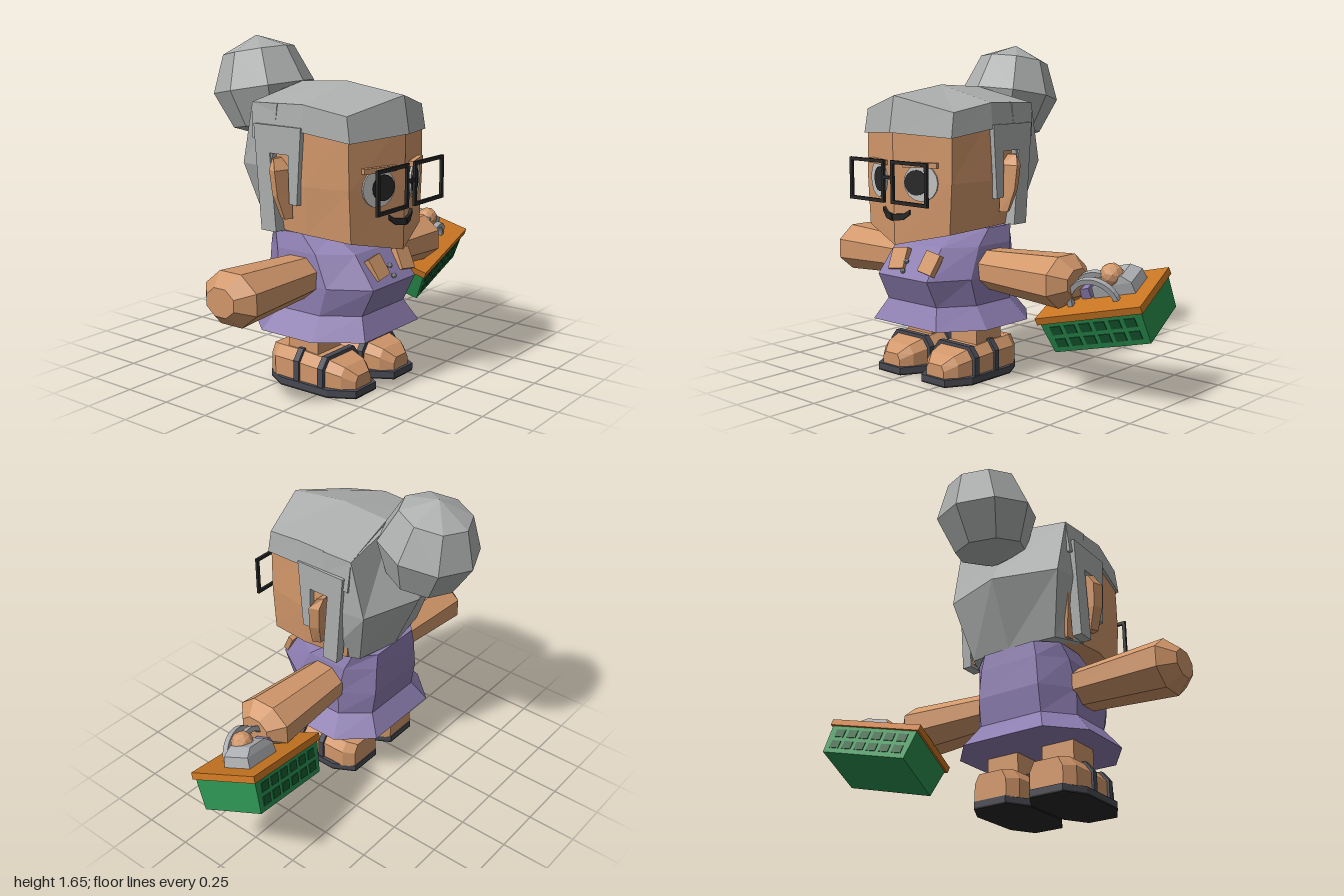
import * as THREE from 'three';

const mat = (name, color, side = THREE.FrontSide) => {
  const m = new THREE.MeshStandardMaterial({ color, side, flatShading: true });
  m.name = name;
  return m;
};
const M = {
  skin: mat('skin', 0xd1976a), hair: mat('grey hair', 0xacaeae),
  dress: mat('purple dress', 0x8c7db0), black: mat('black', 0x272727),
  white: mat('eye white', 0xc4c4c2), sole: mat('dark leather', 0x484952),
  green: mat('basket green', 0x2a9150), hole: mat('basket hole', 0x155a30),
  rim: mat('basket orange', 0xc87522), metal: mat('light grey', 0xa9abae),
};

// Solid through matching rings of points, flat shaded, faces turned outward
function loft(rings) {
  const tris = [], n = rings[0].length, last = rings.length - 1;
  for (let r = 0; r < last; r++) for (let i = 0; i < n; i++) {
    const j = (i + 1) % n, a = rings[r], b = rings[r + 1];
    tris.push([a[i], a[j], b[j]], [a[i], b[j], b[i]]);
  }
  for (let i = 1; i < n - 1; i++) {
    tris.push([rings[0][0], rings[0][i + 1], rings[0][i]]);
    tris.push([rings[last][0], rings[last][i], rings[last][i + 1]]);
  }
  const v = (p) => new THREE.Vector3(...p);
  const volume = tris.reduce((s, t) => s + v(t[0]).dot(v(t[1]).cross(v(t[2]))), 0);
  if (volume < 0) tris.forEach((t) => t.reverse());
  const g = new THREE.BufferGeometry();
  g.setAttribute('position', new THREE.Float32BufferAttribute(tris.flat(2), 3));
  g.computeVertexNormals();
  return g;
}
// Closed ring from its right half (x > 0), mirrored; points on x = 0 stay single
const mirror = (half) => [...half, ...half.filter((p) => p[0] > 0).reverse().map(([x, y, z]) => [-x, y, z])];

function add(parent, name, geo, material, x = 0, y = 0, z = 0) {
  const m = new THREE.Mesh(geo, material);
  m.name = name;
  m.position.set(x, y, z);
  parent.add(m);
  return m;
}
const box = (w, h, d) => new THREE.BoxGeometry(w, h, d);
const polygon = (pts) => new THREE.Shape(pts.map((p) => new THREE.Vector2(...p)));
const extrude = (shape, depth) => new THREE.ExtrudeGeometry(shape, { depth, bevelEnabled: false });
function group(parent, name) {
  const g = new THREE.Group();
  g.name = name;
  parent.add(g);
  return g;
}

function buildHead(body) {
  const head = group(body, 'head');
  add(head, 'face', loft([
    [[0, 0.69, 0.525], [0.28, 0.755, 0.43], [0.31, 0.77, 0.2], [0.28, 0.77, -0.05], [0, 0.71, -0.08]],
    [[0, 1.0, 0.53], [0.295, 1.0, 0.43], [0.33, 1.0, 0.2], [0.31, 1.0, -0.08], [0, 1.0, -0.12]],
    [[0, 1.3, 0.53], [0.295, 1.28, 0.425], [0.325, 1.3, 0.2], [0.3, 1.3, -0.05], [0, 1.3, -0.08]],
  ].map((r) => mirror(r.slice(0, 4)).concat([]).map((p) => p)).map((r) => {
    // rotate the ring so that it starts at the centre ridge
    return r;
  })), M.skin);

  // Hair: crown with fringe, then the back of the head
  const crown = (low, high, top, under) => [under, low, high, top, [-high[0], high[1], high[2]], [-low[0], low[1], low[2]]];
  add(head, 'hairCrown', loft([
    crown([0.305, 1.215, 0.44], [0.3, 1.335, 0.42], [0, 1.41, 0.52], [0, 1.235, 0.55]),
    crown([0.345, 1.25, 0.2], [0.335, 1.375, 0.2], [0, 1.455, 0.2], [0, 1.25, 0.2]),
    crown([0.34, 1.2, -0.1], [0.325, 1.365, -0.11], [0, 1.44, -0.07], [0, 1.2, -0.1]),
  ]), M.hair);
  add(head, 'hairBack', loft([
    mirror([[0.31, 0.765, 0.05], [0.24, 0.76, -0.1], [0, 0.75, -0.14]]),
    mirror([[0.345, 1.07, 0.02], [0.315, 1.07, -0.18], [0, 1.07, -0.28]]),
    mirror([[0.335, 1.37, 0.05], [0.325, 1.365, -0.11], [0, 1.43, -0.1]]),
  ]), M.hair);
  const bun = add(head, 'hairBun', new THREE.SphereGeometry(0.257, 8, 4), M.hair, 0, 1.395, -0.322);
  bun.scale.x = 0.96;
  bun.rotation.x = -0.18;

  const lock = polygon([[0.2, 1.27], [0.175, 0.91], [0.13, 0.915], [0.125, 1.14], [0.015, 1.14],
    [0.05, 0.77], [-0.04, 0.77], [-0.08, 1.27]]);
  for (const s of [1, -1]) {
    const side = s > 0 ? 'left' : 'right';
    add(head, side + 'SideHair', extrude(lock, 0.05).rotateY(-Math.PI / 2), M.hair, s > 0 ? 0.352 : -0.302);
    const ear = (y, x, f, b) => [[s * 0.32, y, f], [s * x, y, (f + b) / 2 + 0.012], [s * (x - 0.02), y, b], [s * 0.32, y, b]];
    add(head, side + 'Ear', loft([ear(0.84, 0.36, 0.125, 0.07), ear(0.95, 0.395, 0.12, 0.05),
      ear(1.07, 0.405, 0.115, 0.04), ear(1.12, 0.375, 0.06, 0.035)]), M.skin);

    // Features lie on the two slanted halves of the face
    const half = group(head, side + 'FaceHalf');
    half.position.z = 0.53;
    half.rotation.y = s * 0.327;
    const disc = (r, h) => new THREE.CylinderGeometry(r, r, h, 16).rotateX(Math.PI / 2);
    add(half, 'eyeWhite', disc(0.09, 0.009), M.white, s * 0.153, 1.0, 0.006);
    add(half, 'pupil', disc(0.061, 0.008), M.black, s * 0.13, 1.0, 0.012);
    add(half, 'eyelid', box(0.18, 0.025, 0.03), M.skin, s * 0.153, 1.085, 0.008);
    const smile = polygon([[0, 0.81], [s * 0.055, 0.817], [s * 0.093, 0.845], [s * 0.093, 0.868], [s * 0.06, 0.848], [0, 0.842]]);
    add(half, 'mouth', extrude(smile, 0.014), M.black);

    const rim = polygon([[-0.123, -0.104], [0.123, -0.104], [0.123, 0.104], [-0.123, 0.104]]);
    rim.holes.push(polygon([[-0.106, -0.087], [0.106, -0.087], [0.106, 0.087], [-0.106, 0.087]]));
    add(head, side + 'GlassesRim', extrude(rim, 0.014), M.black, s * 0.147, 1.002, 0.557);
  }
  add(head, 'glassesBridge', box(0.06, 0.016, 0.012), M.black, 0, 1.022, 0.564);
}

function buildBody(body) {
  // Dress with a flared hem
  const ring = (y, w, f, b) => {
    const d = f - b;
    return mirror([[w * 0.6, y, f], [w, y, f - 0.3 * d], [w, y, b + 0.25 * d], [w * 0.6, y, b]]);
  };
  add(body, 'dress', loft([ring(0.28, 0.37, 0.47, -0.2), ring(0.385, 0.285, 0.415, -0.13),
    ring(0.52, 0.285, 0.48, -0.15), ring(0.67, 0.265, 0.365, -0.145), ring(0.75, 0.24, 0.22, -0.14)]), M.dress);

  for (const [x, t] of [[-0.07, 0.15], [0.145, -0.15]]) {
    const flap = add(body, 'collarFlap', box(0.1, 0.11, 0.03), M.skin, x, 0.6, 0.428);
    flap.rotation.set(-0.5, 0, t);
  }
  for (const [y, z] of [[0.6, 0.45], [0.555, 0.475]])
    add(body, 'button', new THREE.SphereGeometry(0.014, 6, 4), M.metal, 0, y, z);

  const armProfile = [[0, 0], [0.1, 0], [0.132, 0.53], [0.07, 0.6], [0, 0.6]].map((p) => new THREE.Vector2(...p));
  const section = (z, w, h) => mirror([[w, 0.035, z], [w, h * 0.72, z], [w * 0.72, h, z]]);
  for (const s of [1, -1]) {
    const side = s > 0 ? 'left' : 'right';
    const arm = add(body, side + 'Arm', new THREE.LatheGeometry(armProfile, 8, Math.PI / 8), M.skin, s * 0.2, 0.55, 0.11);
    arm.rotation.z = -s * Math.PI / 2;
    arm.scale.z = 1.24;

    // Leg and sandal
    const foot = group(body, side + 'Foot');
    foot.position.x = s * 0.157;
    add(foot, 'leg', box(0.175, 0.26, 0.18), M.skin, 0, 0.25, 0.12);
    add(foot, 'foot', loft([section(-0.075, 0.09, 0.17), section(-0.02, 0.13, 0.18), section(0.11, 0.134, 0.18),
      section(0.26, 0.132, 0.168), section(0.36, 0.105, 0.14), section(0.415, 0.06, 0.1)]), M.skin);
    const sole = polygon([[0.08, -0.43], [0.15, -0.31], [0.152, -0.03], [0.09, 0.08],
      [-0.09, 0.08], [-0.152, -0.03], [-0.15, -0.31], [-0.08, -0.43]]);
    add(foot, 'sole', extrude(sole, 0.03).rotateX(-Math.PI / 2), M.sole, 0, 0.008);
    add(foot, 'soleBottom', extrude(sole, 0.008).rotateX(-Math.PI / 2), M.black);
    for (const [z, h] of [[0.12, 0.19], [0.265, 0.179]])
      add(foot, 'strap', loft([section(z - 0.016, 0.145, h), section(z + 0.016, 0.145, h)]), M.sole);
  }
}

function buildBasket(root) {
  const basket = group(root, 'basket');
  const along = new THREE.Vector3(0.5, 0.12, -0.07).normalize();
  const up = new THREE.Vector3(0.07, -0.11, 0.32).cross(along).normalize();
  const front = along.clone().cross(up);
  basket.quaternion.setFromRotationMatrix(new THREE.Matrix4().makeBasis(along, up, front));
  basket.position.set(0.71, 0.318, -0.04);

  const rect = (y, w, d) => [[w, y, d], [w, y, -d], [-w, y, -d], [-w, y, d]];
  add(basket, 'basketBody', loft([rect(0, 0.255, 0.165), rect(0.165, 0.268, 0.175)]), M.green);
  add(basket, 'basketRim', box(0.56, 0.035, 0.37), M.rim, 0, 0.18, 0);
  for (const s of [1, -1]) for (let row = 0; row < 2; row++) for (let i = 0; i < 6; i++) {
    const y = 0.05 + row * 0.068;
    const hole = add(basket, 'basketHole', box(0.056, 0.045, 0.006), M.hole,
      (i - 2.5) * 0.079, y, s * (0.166 + y * 0.06));
    hole.rotation.x = s * 0.06;
  }

  // Contents and handles
  add(basket, 'carton', loft([rect(0.19, 0.11, 0.075), rect(0.25, 0.105, 0.07), rect(0.285, 0.06, 0.06)]),
    M.metal, 0.09, 0, -0.03);
  add(basket, 'fruit', new THREE.IcosahedronGeometry(0.056, 1), M.skin, 0.09, 0.285, 0);
  add(basket, 'packet', box(0.05, 0.06, 0.08), M.dress, -0.06, 0.22, 0);
  for (const z of [0.075, 0.005]) {
    const arch = new THREE.Shape().absarc(0, 0, 0.135, 0, Math.PI, false).absarc(0, 0, 0.11, Math.PI, 0, true);
    add(basket, 'handle', new THREE.ExtrudeGeometry(arch, { depth: 0.028, bevelEnabled: false, curveSegments: 8 }),
      M.metal, 0.0, 0.19, z);
  }
}

export function createModel() {
  const root = new THREE.Group();
  root.name = 'grandmother';
  const body = group(root, 'figure');
  body.position.x = -0.2;
  buildHead(body);
  buildBody(body);
  buildBasket(root);
  return root;
}
